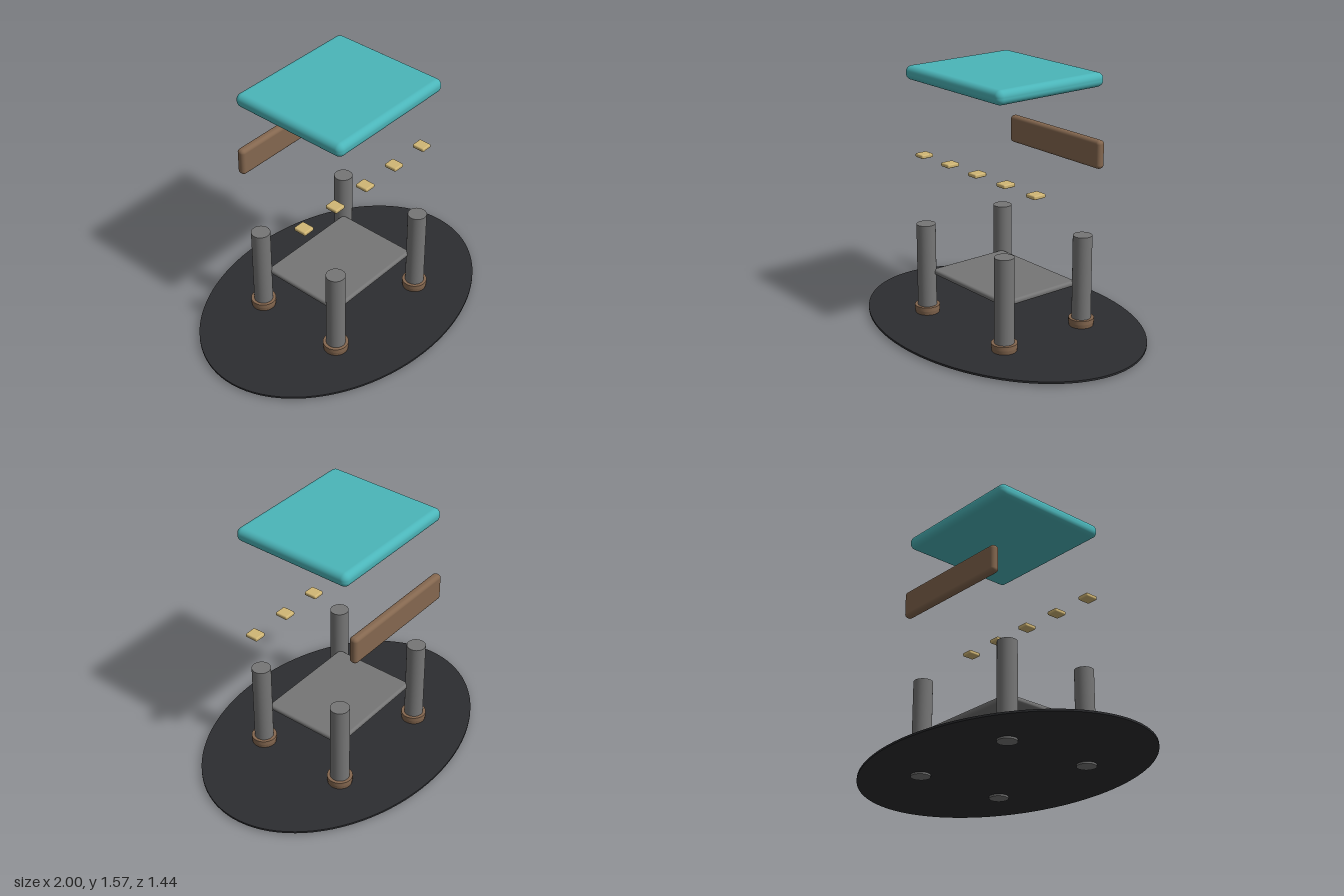
import * as THREE from 'three';
import { RoundedBoxGeometry } from 'three/addons/geometries/RoundedBoxGeometry.js';

const paint = (color) => new THREE.MeshStandardMaterial({ color });

export function createModel() {
  const model = new THREE.Group();
  const teal = paint(0x4bb5b9), brown = paint(0x84674f), grey = paint(0x767676);
  const dark = paint(0x2c2d30), gold = paint(0xd0b675);

  const add = (name, geometry, material, x, y, z) => {
    const mesh = new THREE.Mesh(geometry, material);
    mesh.name = name;
    mesh.position.set(x, y, z);
    model.add(mesh);
    return mesh;
  };

  // thin oval base plate
  const base = add('basePlate', new THREE.CylinderGeometry(1, 1, 0.012, 96), dark, 0, 0.017, 0);
  base.scale.z = 0.72;

  // four legs, each with a stepped foot collar
  const legShape = new THREE.CylinderGeometry(0.058, 0.058, 0.592, 32);
  const upperCollar = new THREE.CylinderGeometry(0.077, 0.077, 0.025, 32);
  const lowerCollar = new THREE.CylinderGeometry(0.077, 0.073, 0.024, 32);
  for (const sx of [-1, 1]) {
    for (const sz of [-1, 1]) {
      const x = sx * 0.375, z = sz * 0.297;
      add('leg', legShape, grey, x, 0.296, z);
      add('upperCollar', upperCollar, brown, x, 0.0595, z);
      add('lowerCollar', lowerCollar, brown, x, 0.035, z);
    }
  }

  // shelf between the legs
  add('shelf', new RoundedBoxGeometry(0.7, 0.034, 0.55, 4, 0.015), grey, 0, 0.285, 0);

  // row of small tiles
  const tile = new RoundedBoxGeometry(0.075, 0.024, 0.083, 3, 0.008);
  for (let i = -2; i <= 2; i++) add('tile', tile, gold, i * 0.2615, 0.97, 0.195);

  // rear board and top cushion
  add('rearBoard', new RoundedBoxGeometry(0.815, 0.172, 0.054, 5, 0.023), brown, 0, 1.067, -0.407);
  add('cushion', new RoundedBoxGeometry(0.886, 0.085, 0.78, 6, 0.038), teal, 0, 1.524, 0);

  return model;
}
